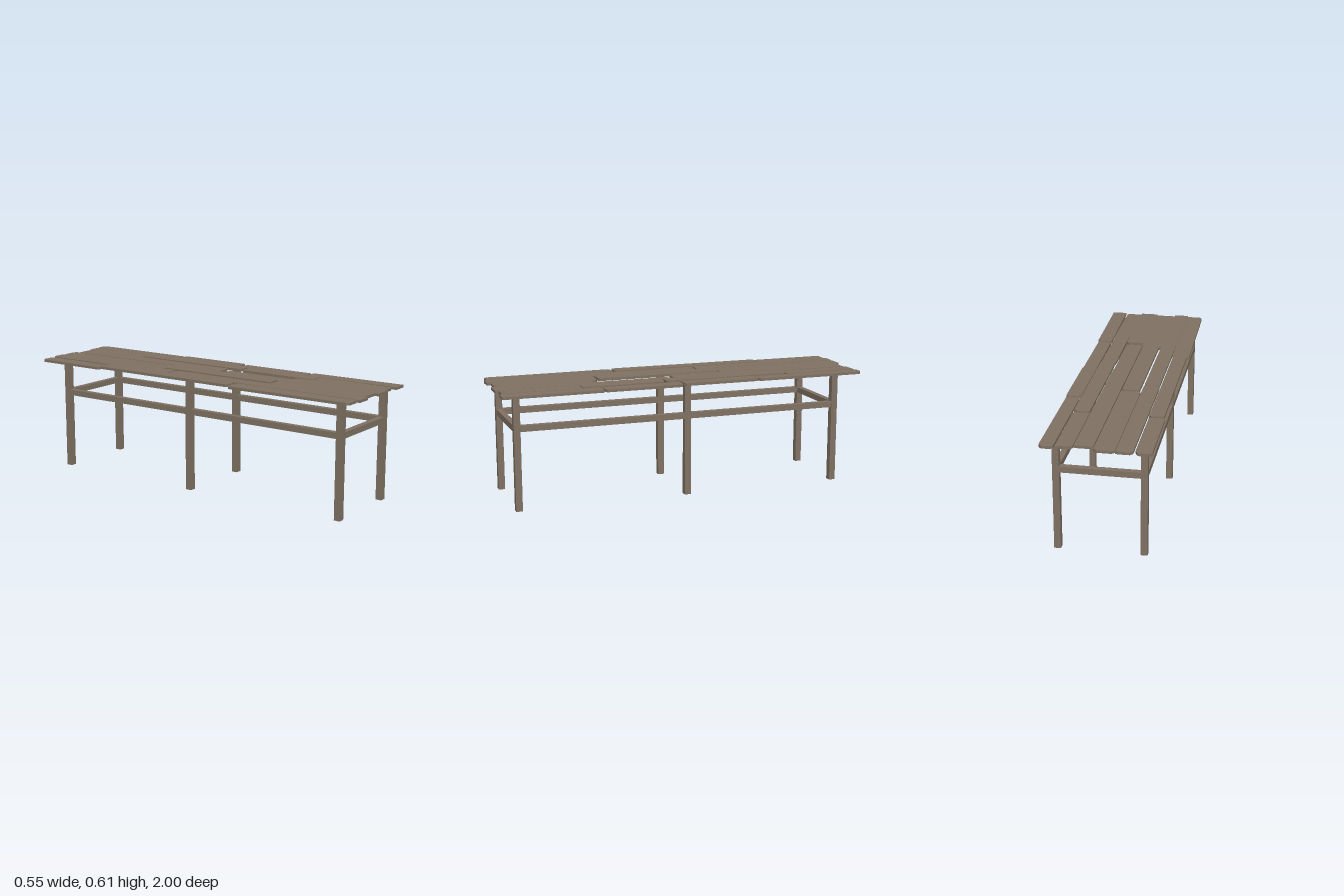
import * as THREE from 'three';

export function createModel() {
  const model = new THREE.Group();
  model.name = 'plankTable';
  const wood = new THREE.MeshStandardMaterial({ color: 0x807263 });
  wood.name = 'weathered wood';

  function add(name, geometry, x = 0, y = 0, z = 0) {
    const mesh = new THREE.Mesh(geometry, wood);
    mesh.name = name;
    mesh.position.set(x, y, z);
    model.add(mesh);
  }

  // Six square legs, with a long rail down each side
  const legX = [-0.22, 0.21], legZ = [0.915, 0.005, -0.85];
  const legTop = 0.596, legWidth = 0.034, railY = 0.428, rail = 0.031;
  for (const x of legX) {
    for (const z of legZ) add('leg', new THREE.BoxGeometry(legWidth, legTop, legWidth), x, legTop / 2, z);
    for (let i = 0; i < 2; i++) {
      const length = legZ[i] - legZ[i + 1] - legWidth;
      add('sideRail', new THREE.BoxGeometry(rail, rail, length), x, railY, (legZ[i] + legZ[i + 1]) / 2);
    }
  }

  // Cross rails at the two ends
  for (const z of [legZ[0], legZ[2]]) {
    add('endRail', new THREE.BoxGeometry(0.43 - legWidth, rail, rail), -0.005, railY, z);
  }

  // One plank: [left x, right x, back z, front z, top y, front shift in x]
  // back and front are [left chip, middle chip, right chip] cut from each end
  const small = [0.008, 0, 0.008];
  function plank([x0, x1, z0, z1, top, shift = 0], back = small, front = small) {
    const bevel = 0.014;
    const shape = new THREE.Shape([
      [x0, z0 + back[0]], [x0 + bevel, z0 + back[1]], [x1 - bevel, z0 + back[1]], [x1, z0 + back[2]],
      [x1 + shift, z1 - front[2]], [x1 + shift - bevel, z1 - front[1]],
      [x0 + shift + bevel, z1 - front[1]], [x0 + shift, z1 - front[0]],
    ].map(([x, z]) => new THREE.Vector2(x, z)));
    const geometry = new THREE.ExtrudeGeometry(shape, { depth: 0.014, bevelEnabled: false });
    geometry.rotateX(Math.PI / 2);
    add('plank', geometry, 0, top, 0);
  }

  // Planks in six columns, from the right side of the table to the left
  plank([-0.275, -0.195, -1.0, -0.58, 0.606], [0.015, 0.004, 0.03]);
  plank([-0.269, -0.194, -0.575, 0.275, 0.611]);
  plank([-0.28, -0.187, 0.282, 0.98, 0.606, 0.01], small, [0.015, 0, 0.012]);

  plank([-0.187, -0.105, -1.0, -0.173, 0.609], [0.015, 0, 0.004]);
  plank([-0.184, -0.105, -0.165, 0.995, 0.6075], small, [0, 0, 0]);

  plank([-0.102, 0.0, -0.998, -0.264, 0.608], [0.013, 0, 0.017]);
  plank([-0.094, -0.003, -0.258, 0.422, 0.612]);
  plank([-0.106, 0.006, 0.43, 0.975, 0.607], small, [0.003, 0, 0.01]);

  plank([0.004, 0.096, -0.966, 0.033, 0.609], [0.004, 0, 0]);
  plank([0.008, 0.097, 0.04, 0.457, 0.598]);
  plank([0.005, 0.1, 0.465, 0.995, 0.6065], small, [0, 0, 0]);

  plank([0.1, 0.182, -0.986, -0.58, 0.608], [0.016, 0.002, 0]);
  plank([0.102, 0.182, -0.575, 0.106, 0.613]);
  plank([0.101, 0.18, 0.114, 0.56, 0.61]);
  plank([0.098, 0.187, 0.55, 0.978, 0.6055, -0.004], small, [0.01, 0, 0.008]);

  plank([0.19, 0.26, -0.993, -0.388, 0.607], [0.012, 0, 0.016]);
  plank([0.187, 0.264, -0.382, 0.033, 0.609]);
  plank([0.19, 0.262, 0.04, 0.46, 0.605]);
  plank([0.19, 0.268, 0.467, 0.993, 0.606, 0.006], small, [0, 0, 0]);

  return model;
}
